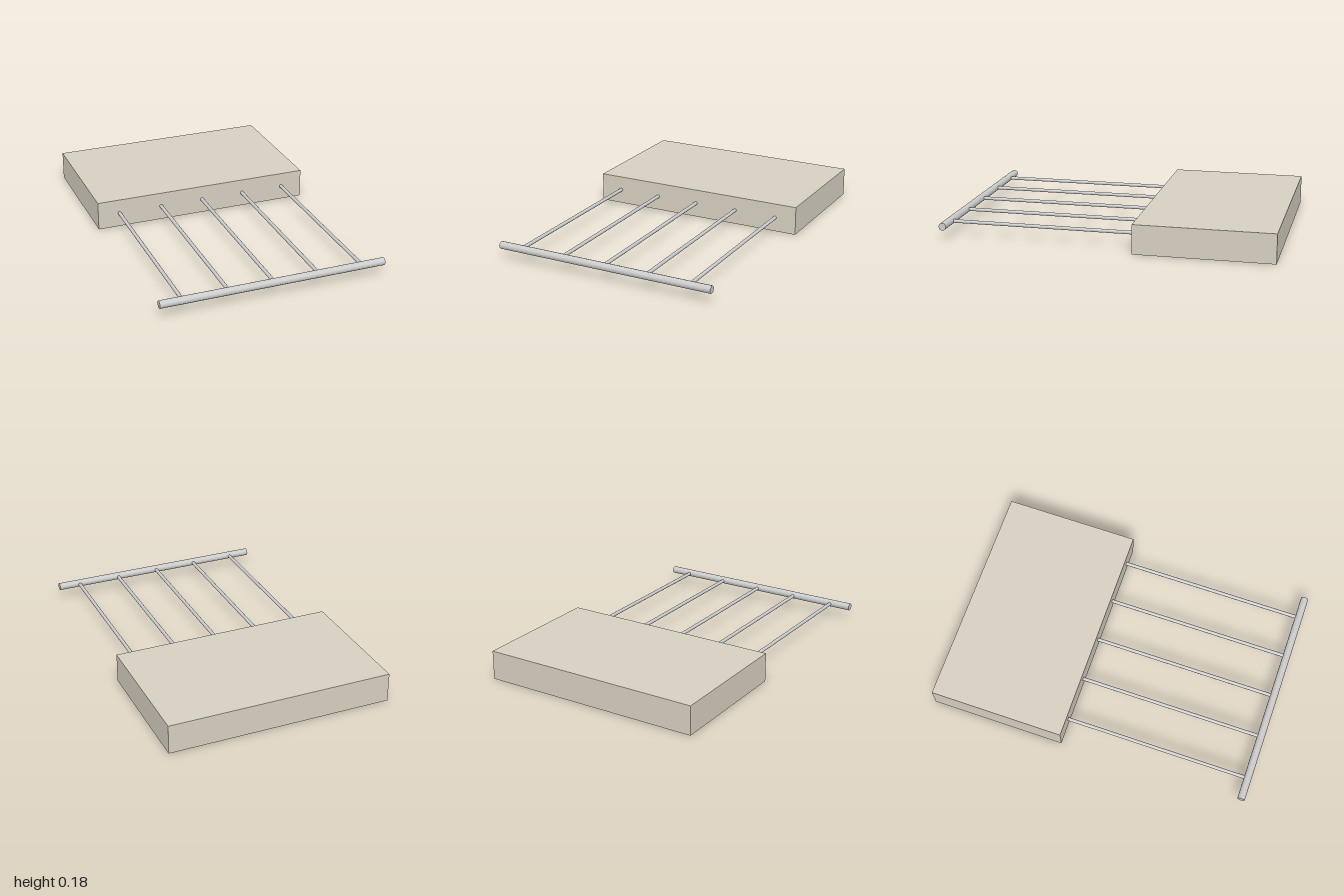
import * as THREE from 'three';

export function createModel() {
  const model = new THREE.Group();
  const width = 1.37, height = 0.178, midY = height / 2;
  const slabBack = -1, slabFront = -0.17;
  const barRadius = 0.023, barZ = 1 - barRadius;

  const stone = new THREE.MeshStandardMaterial({ color: 0xd6cfc0 });
  const metal = new THREE.MeshStandardMaterial({ color: 0xcccccc });

  function add(name, geometry, material, x, y, z) {
    const mesh = new THREE.Mesh(geometry, material);
    mesh.name = name;
    mesh.position.set(x, y, z);
    model.add(mesh);
  }

  // Solid slab at the back
  const depth = slabFront - slabBack;
  add('slab', new THREE.BoxGeometry(width, height, depth), stone, 0, midY, (slabBack + slabFront) / 2);

  // Cross bar along the front
  const bar = new THREE.CylinderGeometry(barRadius, barRadius, width, 12).rotateZ(Math.PI / 2);
  add('crossBar', bar, metal, 0, midY, barZ);

  // Five evenly spaced rods from the slab to the bar
  const rodLength = barZ - slabFront;
  const rod = new THREE.CylinderGeometry(0.011, 0.011, rodLength, 12).rotateX(Math.PI / 2);
  for (let i = -2; i <= 2; i++) {
    add(`rod${i + 3}`, rod, metal, i * width / 5, midY, (barZ + slabFront) / 2);
  }

  return model;
}
